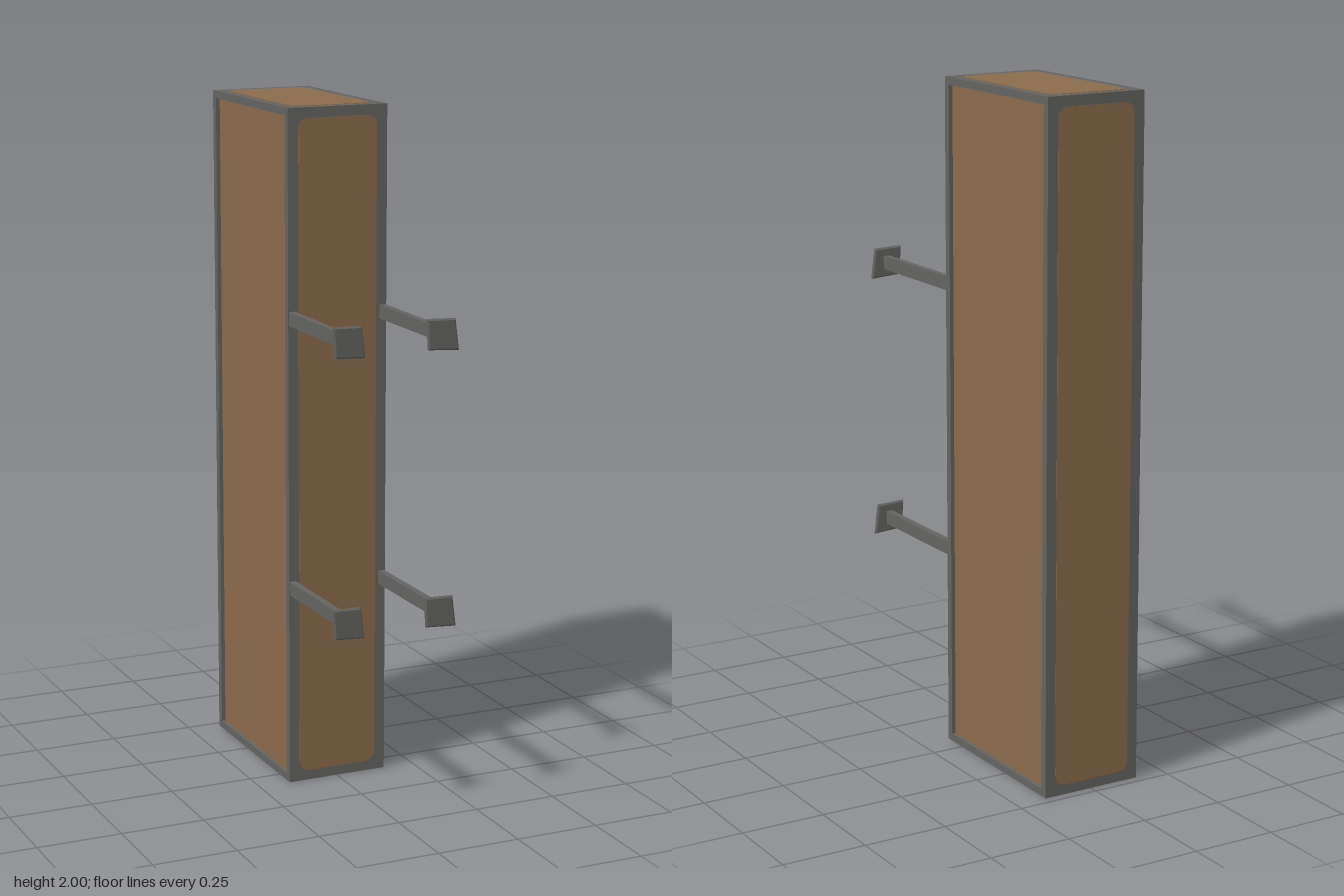
import * as THREE from 'three';

const W = 0.31, H = 2, ZB = -0.475, ZF = 0.078; // cabinet width, height, back and front
const ZC = (ZB + ZF) / 2, D = ZF - ZB;

function roundedRect(w, h, r) {
  const s = new THREE.Shape(), x = w / 2, y = h / 2;
  s.moveTo(-x + r, -y);
  s.lineTo(x - r, -y).quadraticCurveTo(x, -y, x, -y + r);
  s.lineTo(x, y - r).quadraticCurveTo(x, y, x - r, y);
  s.lineTo(-x + r, y).quadraticCurveTo(-x, y, -x, y - r);
  s.lineTo(-x, -y + r).quadraticCurveTo(-x, -y, -x + r, -y);
  return s;
}

export function createModel() {
  const model = new THREE.Group();
  const metal = new THREE.MeshStandardMaterial({ color: 0x646562 });
  metal.name = 'grey metal';
  const brown = new THREE.MeshStandardMaterial({ color: 0x8b6b4b });
  brown.name = 'brown panel';

  const add = (name, geometry, material, x = 0, y = 0, z = 0) => {
    const mesh = new THREE.Mesh(geometry, material);
    mesh.name = name;
    mesh.position.set(x, y, z);
    model.add(mesh);
    return mesh;
  };

  // Frame: a rectangular ring, open on both wide sides
  const ring = new THREE.Shape();
  ring.moveTo(-D / 2, -H / 2).lineTo(D / 2, -H / 2).lineTo(D / 2, H / 2).lineTo(-D / 2, H / 2).closePath();
  const t = 0.022, hole = new THREE.Path(), hx = D / 2 - t, hy = H / 2 - t;
  hole.moveTo(-hx, -hy).lineTo(-hx, hy).lineTo(hx, hy).lineTo(hx, -hy).closePath();
  ring.holes.push(hole);
  const frameGeo = new THREE.ExtrudeGeometry(ring, { depth: W, bevelEnabled: false });
  frameGeo.translate(0, 0, -W / 2).rotateY(Math.PI / 2);
  add('frame', frameGeo, metal, 0, H / 2, ZC);

  // Recessed panels on the wide sides
  add('sidePanels', new THREE.BoxGeometry(W - 0.024, H - 2 * t, D - 2 * t), brown, 0, H / 2, ZC);

  // Thin rounded panels on the narrow sides, top and bottom
  const panel = (w, h) => new THREE.ExtrudeGeometry(roundedRect(w, h, 0.035),
    { depth: 0.002, bevelEnabled: false, curveSegments: 6 }).translate(0, 0, -0.001);
  const tall = panel(0.245, 1.94), flat = panel(0.248, 0.49);
  add('frontPanel', tall, brown, 0, H / 2, ZF);
  add('backPanel', tall, brown, 0, H / 2, ZB);
  add('topPanel', flat, brown, 0, H, ZC).rotation.x = Math.PI / 2;
  add('bottomPanel', flat, brown, 0, 0, ZC).rotation.x = Math.PI / 2;

  // Slightly skewed foot plate with a bevelled rim
  const foot = new THREE.Shape();
  foot.moveTo(-0.041, -0.036).lineTo(0.044, -0.042).lineTo(0.033, 0.039).lineTo(-0.046, 0.042).closePath();
  const footGeo = new THREE.ExtrudeGeometry(foot, {
    depth: 0.004, bevelEnabled: true, bevelThickness: 0.004, bevelSize: 0.005, bevelSegments: 1,
  }).translate(0, 0, -0.002);

  // Four mounting arms with foot plates
  const armGeo = new THREE.BoxGeometry(0.02, 0.04, 0.392);
  for (const y of [0.6, 1.4]) {
    for (const side of [-1, 1]) {
      add('mountingArm', armGeo, metal, side * 0.143, y, 0.264);
      const plate = add('footPlate', footGeo, metal, side * 0.143, y, 0.464);
      plate.rotation.y = side < 0 ? 0.05 : 0;
    }
  }
  return model;
}
